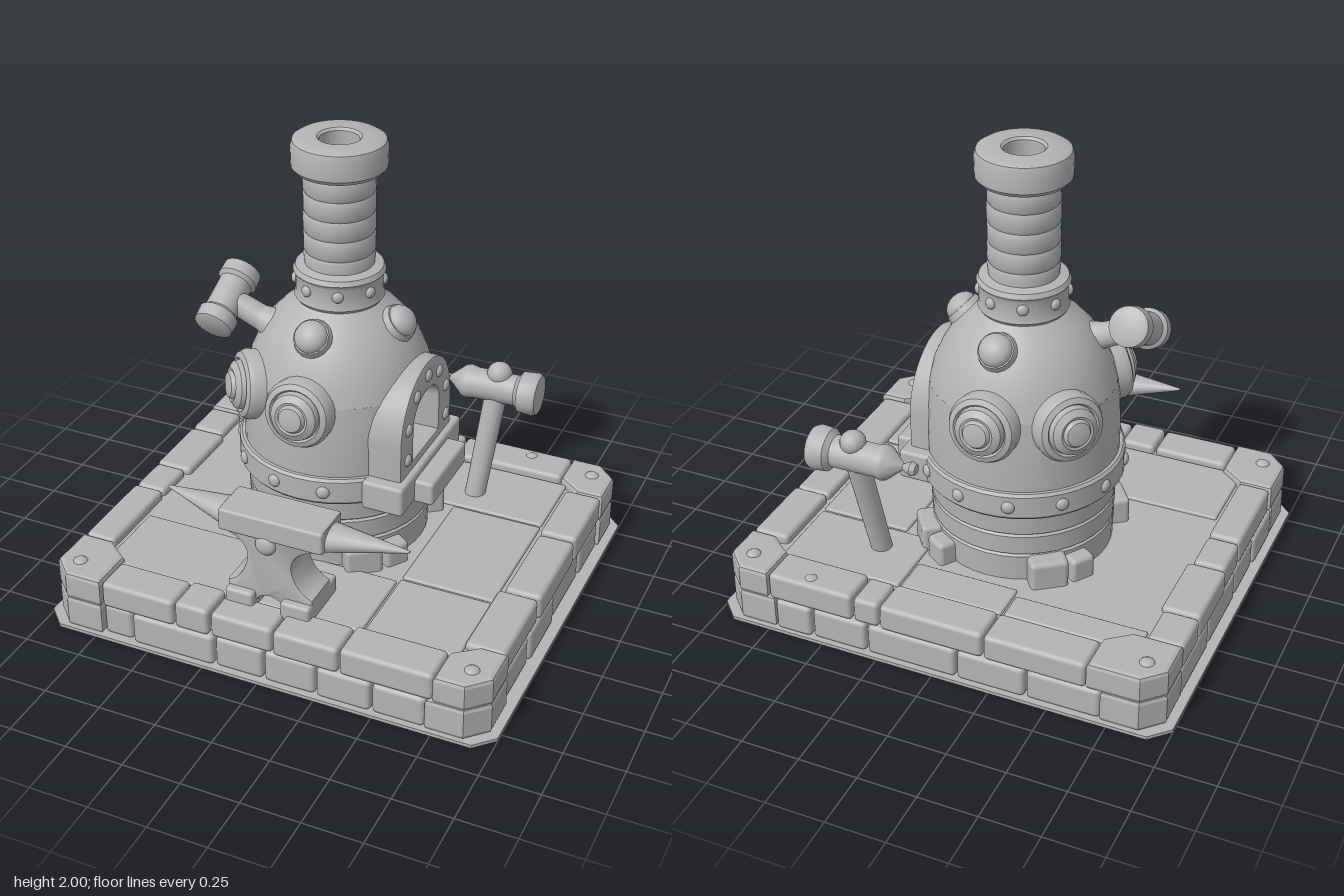
import * as THREE from 'three';
import { toCreasedNormals } from 'three/addons/utils/BufferGeometryUtils.js';
import { RoundedBoxGeometry } from 'three/addons/geometries/RoundedBoxGeometry.js';

const V = (x, y, z) => new THREE.Vector3(x, y, z);
const UP = V(0, 1, 0);

export function createModel() {
  const model = new THREE.Group();
  model.name = 'forge';
  const stone = new THREE.MeshStandardMaterial({ color: 0xb4b4b4 });
  stone.name = 'grey';

  let seed = 7;
  const rnd = (a) => ((seed = (seed * 16807) % 2147483647) / 2147483647 - 0.5) * 2 * a;

  const add = (name, geo, parent = model) => {
    const m = new THREE.Mesh(geo, stone);
    m.name = name;
    parent.add(m);
    return m;
  };
  // block given by its min and max corners
  const block = (name, x0, x1, y0, y1, z0, z1, r = 0.02, parent = model) => {
    const m = add(name, new RoundedBoxGeometry(x1 - x0, y1 - y0, z1 - z0, 2, r), parent);
    m.position.set((x0 + x1) / 2, (y0 + y1) / 2, (z0 + z1) / 2);
    return m;
  };
  const lathe = (pts, seg = 40, p0 = 0, len = Math.PI * 2) => toCreasedNormals(
    new THREE.LatheGeometry(pts.map(([r, y]) => new THREE.Vector2(r, y)), seg, p0, len), 0.6);
  // turn a part so that its own y axis follows dir
  const aim = (m, pos, dir) => {
    m.position.copy(pos);
    m.quaternion.setFromUnitVectors(UP, dir.clone().normalize());
    return m;
  };
  const ball = (name, pos, dir, r, flat = 0.7, parent = model) => {
    const m = aim(add(name, new THREE.SphereGeometry(r, 16, 10), parent), pos, dir);
    m.scale.y = flat;
    return m;
  };
  const rod = (name, a, b, ra, rb, parent = model) => {
    const d = b.clone().sub(a);
    return aim(add(name, new THREE.CylinderGeometry(rb, ra, d.length(), 18), parent),
      a.clone().add(b).multiplyScalar(0.5), d);
  };
  const poly = (pts) => new THREE.Shape(pts.map(([x, y]) => new THREE.Vector2(x, y)));
  // flat slab lying on y0, outline in x,z
  const slab = (name, pts, y0, y1, bevel) => {
    const geo = new THREE.ExtrudeGeometry(poly(pts.map(([x, z]) => [x, -z])), {
      depth: y1 - y0 - 2 * bevel, bevelEnabled: bevel > 0, bevelSize: bevel,
      bevelThickness: bevel, bevelOffset: -bevel, bevelSegments: 2 });
    geo.rotateX(-Math.PI / 2);
    add(name, geo).position.y = y0 + bevel;
  };

  // --- base plate, floor and paving
  const oct = (x, z, c) => [[x - c, z], [x, z - c], [x, c - z], [x - c, -z], [c - x, -z], [-x, c - z], [-x, z - c], [c - x, z]];
  slab('basePlate', oct(1, 0.87, 0.08), 0, 0.015, 0);
  slab('floor', oct(0.92, 0.8, 0.08), 0.01, 0.235, 0);
  [[0.38, 0.78, -0.31, 0.27], [0.38, 0.78, 0.285, 0.66], [0.24, 0.78, -0.67, -0.325],
    [-0.22, 0.23, -0.67, -0.5], [-0.8, -0.23, -0.67, -0.54], [-0.8, 0.37, 0.3, 0.67]]
    .forEach(([a, b, c, d]) => block('floorTile', a, b, 0.2, 0.248, c, d, 0.01));

  // --- two courses of stones with chamfered corners
  const courses = [
    { y0: 0.012, y1: 0.152, back: [-0.72, -0.4, -0.1, 0.3, 0.55, 0.72], front: [-0.72, -0.58, -0.2, 0.02, 0.25, 0.49, 0.72],
      left: [-0.6, -0.25, 0.1, 0.35, 0.6], right: [-0.6, -0.35, 0, 0.3, 0.6] },
    { y0: 0.152, y1: 0.27, back: [-0.66, -0.22, 0.24, 0.36, 0.75], front: [-0.72, -0.38, -0.22, 0.06, 0.35, 0.75],
      left: [-0.6, -0.4, -0.06, 0.14, 0.57], right: [-0.6, -0.24, 0.2, 0.6] }];
  const runs = (s, fn) => s.slice(1).forEach((e, i) => fn(s[i] + 0.004, e - 0.004));
  courses.forEach(({ y0, y1, back, front, left, right }) => {
    runs(back, (a, b) => block('rimStone', a, b, y0, y1 + rnd(0.006), -0.855 + rnd(0.008), -0.685 + rnd(0.012)));
    runs(front, (a, b) => block('rimStone', a, b, y0, y1 + rnd(0.006), 0.68 + rnd(0.012), 0.845 + rnd(0.008)));
    runs(left, (a, b) => block('rimStone', -0.96 + rnd(0.008), -0.81 + rnd(0.012), y0, y1 + rnd(0.006), a, b));
    runs(right, (a, b) => block('rimStone', 0.79 + rnd(0.012), 0.955 + rnd(0.008), y0, y1 + rnd(0.006), a, b));
    for (const [sx, sz, ix, iz] of [[1, 1, front.at(-1), right.at(-1)], [1, -1, back.at(-1), -right[0]],
      [-1, 1, -front[0], left.at(-1)], [-1, -1, -back[0], -left[0]]]) {
      const pts = [[ix, iz + 0.08], [ix, 0.855], [0.88, 0.855], [0.965, 0.77], [0.965, iz], [ix + 0.1, iz]];
      slab('cornerStone', pts.map(([x, z]) => [x * sx, z * sz]), y0, y1 + 0.005, 0.018);
    }
  });
  for (const sx of [-1, 1]) for (const sz of [-1, 1]) ball('cornerStud', V(sx * 0.87, 0.27, sz * 0.75), UP, 0.032, 0.6);
  ball('rimStud', V(0.57, 0.265, -0.8), UP, 0.03, 0.6);

  // --- furnace body, with a gap at the door
  const furnace = new THREE.Group();
  furnace.name = 'furnace';
  furnace.position.set(-0.055, 0, -0.065);
  model.add(furnace);
  add('drum', lathe([[0.38, 0.2], [0.385, 0.35], [0.375, 0.358], [0.385, 0.366], [0.388, 0.45], [0.378, 0.458],
    [0.388, 0.466], [0.395, 0.57]]), furnace);
  add('band', lathe([[0.38, 0.56], [0.415, 0.56], [0.425, 0.572], [0.425, 0.668], [0.415, 0.68], [0.2, 0.69], [0, 0.69]]), furnace);
  const gap = 0.42;
  add('lowerDome', lathe([[0.402, 0.68], [0.402, 0.78], [0.397, 0.9], [0.385, 0.99]], 40,
    Math.PI / 2 + gap, Math.PI * 2 - 2 * gap), furnace);
  add('upperDome', lathe([[0.385, 0.99], [0.366, 1.06], [0.335, 1.13], [0.295, 1.2], [0.24, 1.26], [0.165, 1.32], [0, 1.32]]), furnace);
  add('chimneyCollar', lathe([[0.15, 1.31], [0.175, 1.31], [0.186, 1.325], [0.18, 1.345], [0.18, 1.42], [0.19, 1.435], [0.18, 1.455], [0.14, 1.465]]), furnace);
  const shaft = [[0.14, 1.44]];
  for (let y = 1.52; y < 1.86; y += 0.085) shaft.push([0.147, y - 0.012], [0.141, y], [0.147, y + 0.012]);
  add('chimney', lathe([...shaft, [0.145, 1.89]]), furnace);
  add('chimneyCap', lathe([[0.14, 1.865], [0.18, 1.868], [0.193, 1.885], [0.195, 1.965], [0.187, 1.99], [0.17, 2],
    [0.09, 2], [0.08, 1.99], [0.08, 1.75], [0, 1.75]]), furnace);

  // rivets round the collar and band
  const around = (deg, r, y) => V(Math.sin(deg * Math.PI / 180) * r, y, Math.cos(deg * Math.PI / 180) * r);
  for (let i = 0; i < 8; i++) ball('collarRivet', around(i * 45 + 22, 0.18, 1.385), around(i * 45 + 22, 1, 0), 0.024, 0.7, furnace);
  for (let i = 0; i < 12; i++) {
    const a = i * 30 + 15;
    if (Math.abs(a - 90) > 40) ball('bandRivet', around(a, 0.425, 0.62), around(a, 1, 0), 0.028, 0.6, furnace);
  }
  // round bosses
  const boss = lathe([[0.14, -0.1], [0.147, 0.02], [0.135, 0.045], [0.112, 0.055], [0.104, 0.045], [0.098, 0.07],
    [0.07, 0.088], [0.06, 0.085], [0.05, 0.1], [0, 0.11]], 28);
  for (const a of [0, -47, -130, 180]) aim(add('roundBoss', boss, furnace), around(a, 0.383, 0.96), around(a, 1, 0.12));
  // dome studs
  for (const a of [0, 90, 180]) {
    const d = around(a, 0.8, 0.75);
    aim(add('domeStudCollar', new THREE.CylinderGeometry(0.075, 0.085, 0.04, 20), furnace), around(a, 0.262, 1.235), d);
    ball('domeStud', around(a, 0.275, 1.247), d, 0.07, 0.75, furnace);
  }
  // foundation stones
  for (const a of [45, 135, 225, 315]) {
    const g = new THREE.Group();
    g.name = 'foundationStones';
    g.rotation.y = a * Math.PI / 180;
    furnace.add(g);
    block('footStone', -0.13, 0.03, 0.2, 0.355 + rnd(0.01), 0.33, 0.45, 0.02, g).rotation.y = -0.15;
    block('footStone', 0.03, 0.14, 0.2, 0.33 + rnd(0.01), 0.33, 0.44, 0.02, g).rotation.y = 0.2;
  }

  // --- arched door on the +x side
  const arch = (Shape, hw, y0, ya, ry) => {
    const s = new Shape();
    s.moveTo(-hw, y0).lineTo(hw, y0).lineTo(hw, ya);
    s.absellipse(0, ya, hw, ry, 0, Math.PI, false);
    return s.lineTo(-hw, y0);
  };
  const frame = arch(THREE.Shape, 0.26, 0.63, 0.83, 0.26);
  frame.holes.push(arch(THREE.Path, 0.148, 0.7, 0.87, 0.11));
  const frameGeo = new THREE.ExtrudeGeometry(frame, { depth: 0.29, bevelSize: 0.012, bevelThickness: 0.012, bevelSegments: 2, curveSegments: 20 });
  const door = new THREE.Group();
  door.name = 'door';
  door.position.set(0.05, 0, -0.035);
  door.rotation.y = Math.PI / 2;
  model.add(door);
  add('doorFrame', toCreasedNormals(frameGeo, 0.5), door);
  block('ovenBack', -0.18, 0.18, 0.66, 1.02, -0.03, 0.03, 0.01, door);
  for (const [x, y] of [[-0.205, 0.75], [0.205, 0.75], [-0.2, 0.89], [0.2, 0.89], [-0.12, 1.0], [0.12, 1.0], [0, 1.04]])
    ball('doorRivet', V(x, y, 0.302), V(0, 0, 1), 0.027, 0.6, door);
  block('doorLedge', 0.2, 0.46, 0.545, 0.65, -0.22, 0.155, 0.015);
  block('doorLedgeSupport', 0.2, 0.38, 0.55, 0.68, -0.36, 0.29, 0.015);

  // --- anvil
  const anvil = new THREE.Group();
  anvil.name = 'anvil';
  model.add(anvil);
  const side = new THREE.Shape();
  side.moveTo(-0.235, 0.68).lineTo(-0.235, 0.585).quadraticCurveTo(-0.1, 0.56, -0.12, 0.46)
    .quadraticCurveTo(-0.14, 0.37, -0.205, 0.345).lineTo(-0.205, 0.25).lineTo(-0.09, 0.25)
    .quadraticCurveTo(-0.07, 0.31, -0.02, 0.31).quadraticCurveTo(0.03, 0.31, 0.05, 0.25)
    .lineTo(0.17, 0.25).lineTo(0.17, 0.345).quadraticCurveTo(0.1, 0.37, 0.08, 0.46)
    .quadraticCurveTo(0.07, 0.56, 0.22, 0.585).lineTo(0.22, 0.68);
  const sideGeo = new THREE.ExtrudeGeometry(side, { depth: 0.15, bevelSize: 0.01, bevelOffset: -0.01, bevelThickness: 0.012, bevelSegments: 2 });
  add('anvilBody', toCreasedNormals(sideGeo, 0.5), anvil).position.z = 0.535;
  block('anvilFace', -0.235, 0.22, 0.585, 0.685, 0.52, 0.71, 0.012, anvil);
  for (const [a, b] of [[-0.205, -0.08], [0.04, 0.17]]) block('anvilFoot', a, b, 0.24, 0.325, 0.46, 0.73, 0.015, anvil);
  for (const [x0, x1, y1] of [[-0.22, -0.51, 0.655], [0.21, 0.545, 0.635]]) {
    const horn = rod('anvilHorn', V(x0, 0.615, 0.61), V(x1, y1, 0.605), 0.078, 0.006, anvil);
    horn.scale.x = 0.75;
  }
  ball('anvilStud', V(-0.03, 0.56, 0.697), V(0, 0, 1), 0.045, 0.6, anvil);

  // --- mallet lever on the furnace
  const lever = new THREE.Group();
  lever.name = 'lever';
  model.add(lever);
  rod('leverRoot', V(-0.27, 1.15, 0.03), V(-0.37, 1.195, 0.045), 0.085, 0.05, lever);
  rod('leverHandle', V(-0.32, 1.17, 0.04), V(-0.5, 1.25, 0.05), 0.055, 0.05, lever);
  aim(add('leverHead', lathe([[0, -0.155], [0.06, -0.155], [0.082, -0.145], [0.085, -0.09], [0.07, -0.075], [0.07, 0.075],
    [0.085, 0.09], [0.082, 0.145], [0.06, 0.155], [0, 0.155]], 24), lever), V(-0.51, 1.25, 0.05), V(-0.01, -0.13, 0.24));

  // --- hammer leaning on the floor
  const hammer = new THREE.Group();
  hammer.name = 'hammer';
  model.add(hammer);
  rod('hammerHandle', V(0.425, 0.23, -0.45), V(0.475, 0.76, -0.555), 0.045, 0.05, hammer);
  aim(add('hammerHead', lathe([[0, -0.275], [0.022, -0.272], [0.03, -0.25], [0.014, -0.215], [0.03, -0.195], [0.07, -0.15], [0.075, -0.13],
    [0.068, -0.1], [0.068, 0.09], [0.09, 0.11], [0.095, 0.17], [0.085, 0.19], [0, 0.195]], 24), hammer), V(0.475, 0.745, -0.55), V(1, 0, -0.02));
  ball('hammerKnob', V(0.48, 0.81, -0.555), UP, 0.055, 0.95, hammer);

  return model;
}
